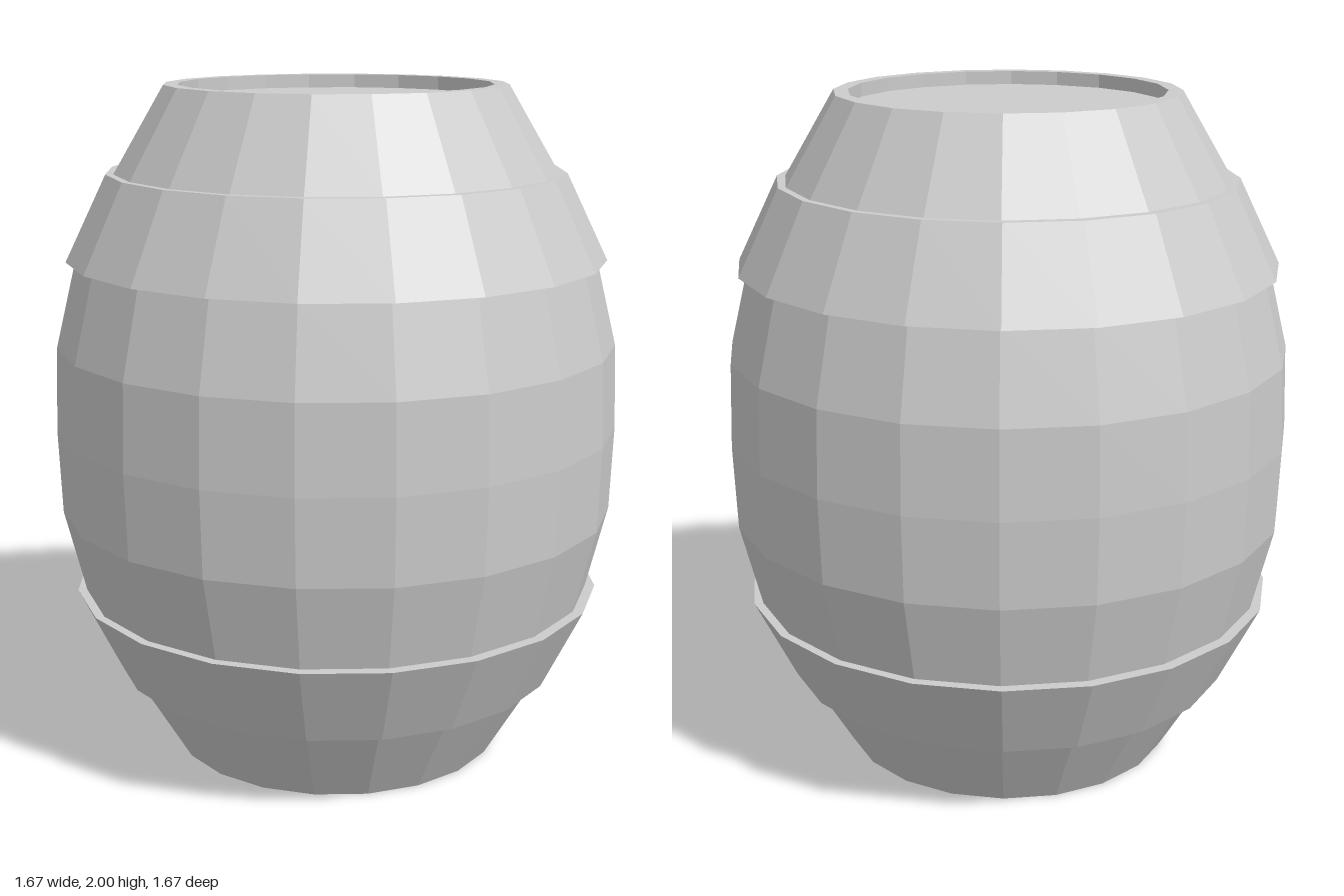
import * as THREE from 'three';

const SIDES = 20;

function turned(name, profile) {
  const points = profile.map(([r, y]) => new THREE.Vector2(r, y));
  const material = new THREE.MeshStandardMaterial({ color: 0xcccccc, flatShading: true });
  const mesh = new THREE.Mesh(new THREE.LatheGeometry(points, SIDES), material);
  mesh.name = name;
  return mesh;
}

export function createModel() {
  const barrel = new THREE.Group();
  barrel.name = 'barrel';

  // Bulging staves with a flat base
  barrel.add(turned('staves', [
    [0, 0], [0.5, 0], [0.648, 0.25], [0.766, 0.5], [0.827, 0.75], [0.836, 1],
    [0.827, 1.25], [0.766, 1.5], [0.648, 1.75], [0.5, 2],
  ]));

  // Top rim and its slightly sunken lid
  barrel.add(turned('rim', [[0.5, 2], [0.458, 2], [0.458, 1.96]]));
  barrel.add(turned('lid', [[0.458, 1.96], [0, 1.96]]));

  // Two sloping hoops, mirrored about mid height
  const hoop = [[0.765, 1.5], [0.8, 1.5], [0.677, 1.75], [0.647, 1.75]];
  const lower = hoop.map(([r, y]) => [r, 2 - y]).reverse();
  for (const [name, profile] of [['upperHoop', hoop], ['lowerHoop', lower]]) {
    const mesh = turned(name, profile);
    mesh.scale.x = 0.99;
    barrel.add(mesh);
  }
  return barrel;
}
